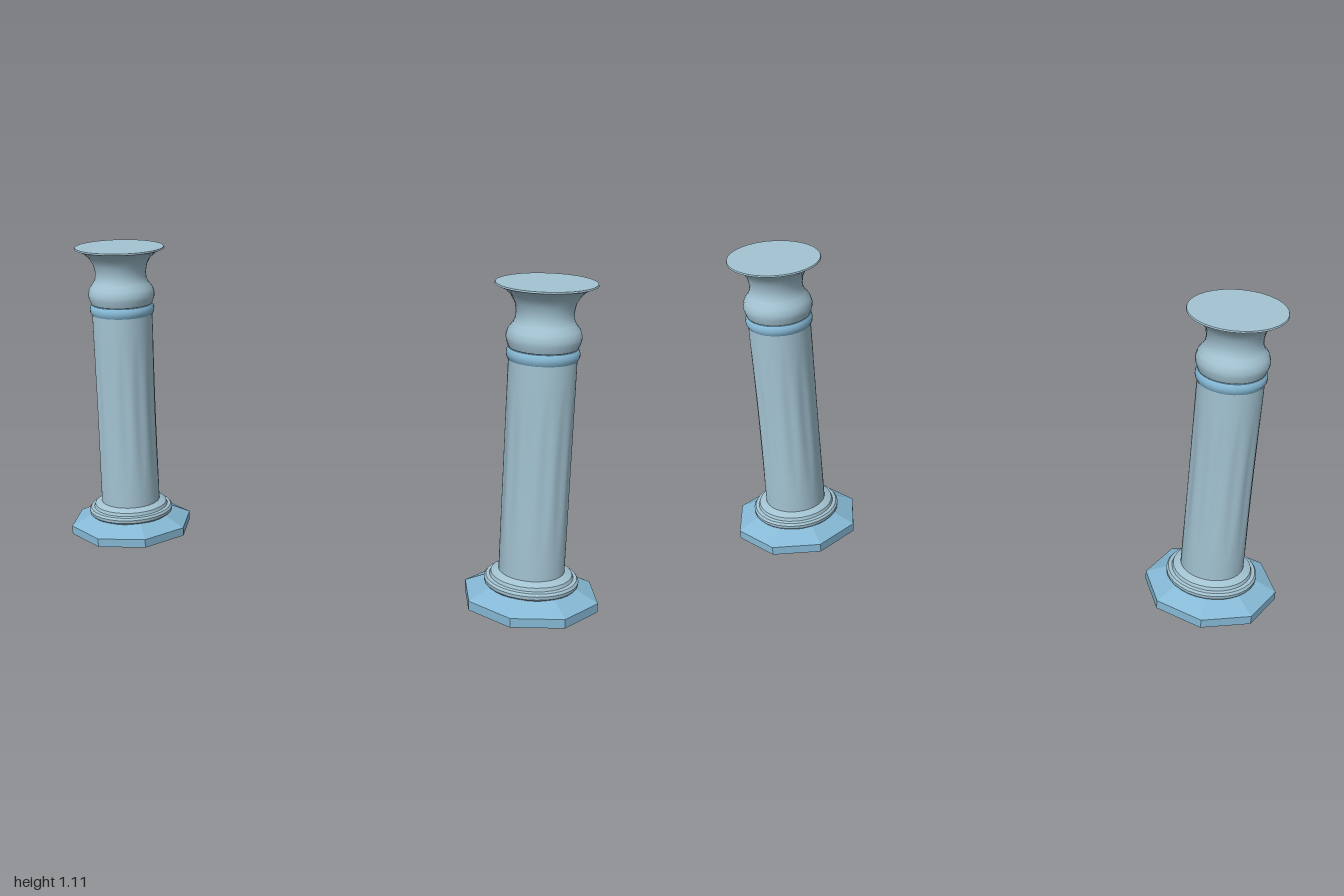
import * as THREE from 'three';
import { toCreasedNormals } from 'three/addons/utils/BufferGeometryUtils.js';

const stone = new THREE.MeshStandardMaterial({ color: 0xa3c3d2 });
stone.name = 'pale stone';
const trim = new THREE.MeshStandardMaterial({ color: 0x86b9d6 });
trim.name = 'blue trim';

// Turned part from [radius, height] pairs, listed bottom to top
function turned(name, profile, sides, material, crease) {
  const points = profile.map(([r, y]) => new THREE.Vector2(r, y));
  const geometry = toCreasedNormals(new THREE.LatheGeometry(points, sides), crease);
  const mesh = new THREE.Mesh(geometry, material);
  mesh.name = name;
  return mesh;
}

// Shaft with twelve shallow flutes that taper to points at both ends
function makeShaft() {
  const bottom = 0.15, top = 0.875, radius = 0.107, flutes = 12;
  const geometry = new THREE.CylinderGeometry(radius, radius, top - bottom, 96, 30, true);
  geometry.translate(0, (top + bottom) / 2, 0);
  const pos = geometry.attributes.position;
  for (let i = 0; i < pos.count; i++) {
    const y = pos.getY(i);
    const angle = Math.atan2(pos.getX(i), pos.getZ(i));
    const along = THREE.MathUtils.clamp((y - 0.22) / 0.58, 0, 1);
    const lens = Math.pow(Math.sin(Math.PI * along), 0.5);
    const across = Math.max(0, Math.cos(angle * flutes) * 0.5 + lens - 0.5);
    const scale = 1 - (0.004 * across * lens) / radius;
    pos.setXYZ(i, pos.getX(i) * scale, y, pos.getZ(i) * scale);
  }
  geometry.computeVertexNormals();
  const mesh = new THREE.Mesh(geometry, stone);
  mesh.name = 'flutedShaft';
  return mesh;
}

function makeColumn(name) {
  const column = new THREE.Group();
  column.name = name;

  // Faceted octagonal foot with a shallow pointed underside
  column.add(turned('octagonalFoot', [
    [0, 0], [0.14, 0.013], [0.225, 0.045], [0.225, 0.076], [0.155, 0.11], [0, 0.112],
  ], 8, trim, 0.05));

  // Stepped moulding under the shaft
  column.add(turned('footMoulding', [
    [0.146, 0.107], [0.153, 0.115], [0.154, 0.126], [0.148, 0.134], [0.136, 0.136],
    [0.132, 0.147], [0.122, 0.152], [0.107, 0.158],
  ], 32, stone, 0.6));

  column.add(makeShaft());

  // Rounded neck band
  column.add(turned('neckBand', [
    [0.1, 0.868], [0.109, 0.869], [0.114, 0.878], [0.115, 0.888],
    [0.113, 0.898], [0.108, 0.905], [0.1, 0.906],
  ], 32, trim, 0.8));

  // Flared capital with a closed top
  column.add(turned('flaredCapital', [
    [0.1, 0.904], [0.109, 0.908], [0.117, 0.93], [0.118, 0.945], [0.112, 0.965],
    [0.098, 0.983], [0.091, 1.0], [0.09, 1.02], [0.095, 1.048], [0.11, 1.074],
    [0.132, 1.094], [0.159, 1.105], [0.157, 1.11], [0, 1.112],
  ], 32, stone, 0.6));
  return column;
}

export function createModel() {
  const model = new THREE.Group();
  model.name = 'columnPair';
  for (const [name, x] of [['leftColumn', 0.775], ['rightColumn', -0.775]]) {
    const column = makeColumn(name);
    column.position.x = x;
    model.add(column);
  }
  return model;
}
